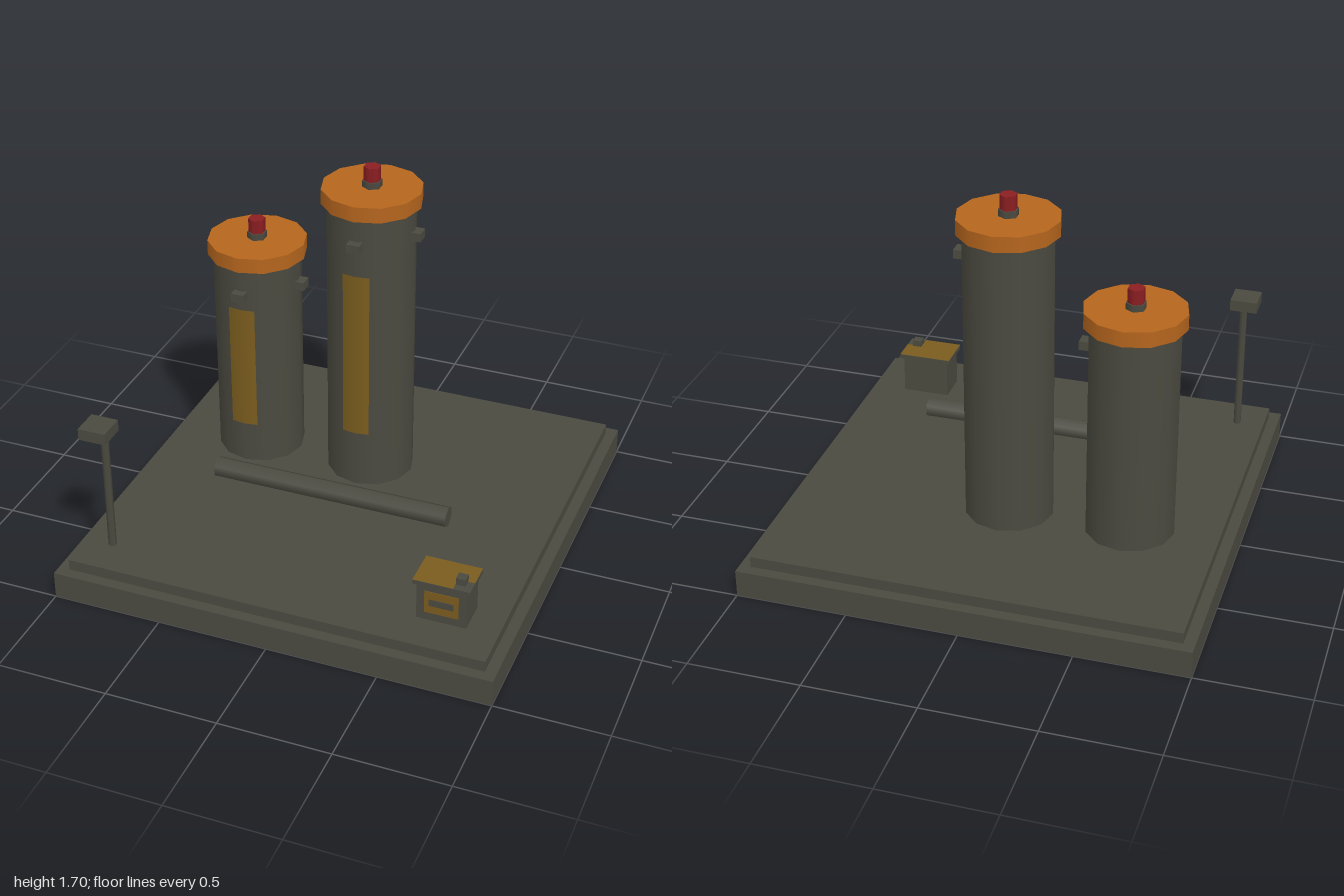
import * as THREE from 'three';

const mat = (name, color, side = THREE.FrontSide) => {
  const m = new THREE.MeshStandardMaterial({ color, side });
  m.name = name;
  return m;
};

export function createModel() {
  const steel = mat('dark olive steel', 0x4a4a40);
  const orange = mat('orange cap', 0xb5651d);
  const red = mat('red beacon', 0x8b1e22);
  const gold = mat('ochre paint', 0x7a5c1e, THREE.DoubleSide);

  const model = new THREE.Group();
  model.name = 'tankPlatform';

  const add = (parent, name, geometry, material, x, y, z) => {
    const mesh = new THREE.Mesh(geometry, material);
    mesh.name = name;
    mesh.position.set(x, y, z);
    parent.add(mesh);
    return mesh;
  };
  const box = (parent, name, material, w, h, d, x, y, z) =>
    add(parent, name, new THREE.BoxGeometry(w, h, d), material, x, y, z);
  // Upright cylinder placed by its bottom and top heights
  const column = (parent, name, material, r, sides, y0, y1, x, z) =>
    add(parent, name, new THREE.CylinderGeometry(r, r, y1 - y0, sides), material, x, (y0 + y1) / 2, z);

  // Stepped base
  const floor = 0.175;
  box(model, 'baseSlab', steel, 2, 0.125, 2, 0, 0.0625, 0);
  box(model, 'baseDeck', steel, 1.9, 0.05, 1.9, 0, 0.15, 0);

  // Storage tanks with caps, beacons, painted bands and vents
  const tank = (name, x, top, bandBottom, bandTop) => {
    const g = new THREE.Group();
    g.name = name;
    g.position.set(x, 0, -0.25);
    model.add(g);
    column(g, 'tankBody', steel, 0.2, 12, floor, top - 0.05, 0, 0);
    column(g, 'tankCap', orange, 0.225, 12, top - 0.07, top, 0, 0);
    column(g, 'beaconBase', steel, 0.045, 6, top, top + 0.03, 0, 0);
    column(g, 'beaconLight', red, 0.0385, 6, top + 0.03, top + 0.095, 0, 0);
    const h = bandTop - bandBottom;
    add(g, 'paintedBand', new THREE.CylinderGeometry(0.203, 0.203, h, 2, 1, true, -0.31, 0.62),
      gold, 0, bandBottom + h / 2, 0);
    box(g, 'frontVent', steel, 0.06, 0.04, 0.06, 0, top - 0.197, 0.205);
    box(g, 'sideVent', steel, 0.06, 0.04, 0.06, 0.205, top - 0.197, 0);
  };
  tank('shortTank', -0.55, 1.25, 0.375, 0.978);
  tank('tallTank', 0, 1.6, 0.45, 1.255);

  // Horizontal six-sided pipe
  const pipe = new THREE.CylinderGeometry(0.0485, 0.0485, 1.1, 6).rotateY(Math.PI / 2).rotateZ(Math.PI / 2);
  add(model, 'pipe', pipe, steel, 0, 0.325, 0.25);

  // Lamp post
  column(model, 'lampPole', steel, 0.018, 6, floor, 0.79, -0.825, 0.775);
  box(model, 'lampHead', steel, 0.125, 0.053, 0.125, -0.825, 0.802, 0.823);

  // Control box
  const control = new THREE.Group();
  control.name = 'controlBox';
  control.position.set(0.7, 0, 0.7);
  model.add(control);
  box(control, 'controlBody', steel, 0.22, 0.18, 0.15, 0, 0.265, 0);
  box(control, 'controlLid', steel, 0.25, 0.02, 0.175, 0, 0.363, 0);
  box(control, 'controlKnob', steel, 0.042, 0.034, 0.042, 0.073, 0.388, 0.032);

  // Painted lid with a bare corner around the knob
  const lidShape = new THREE.Shape([
    [-0.125, 0.0875], [-0.125, -0.0875], [0.052, -0.0875], [0.052, -0.02], [0.125, -0.02], [0.125, 0.0875],
  ].map(([x, y]) => new THREE.Vector2(x, y)));
  add(control, 'lidPaint', new THREE.ShapeGeometry(lidShape).rotateX(-Math.PI / 2), gold, 0, 0.375, 0);

  // Front panel and its slot
  box(control, 'frontPanel', gold, 0.15, 0.108, 0.006, 0, 0.268, 0.075);
  box(control, 'panelSlot', steel, 0.108, 0.032, 0.006, 0, 0.268, 0.077);

  return model;
}
